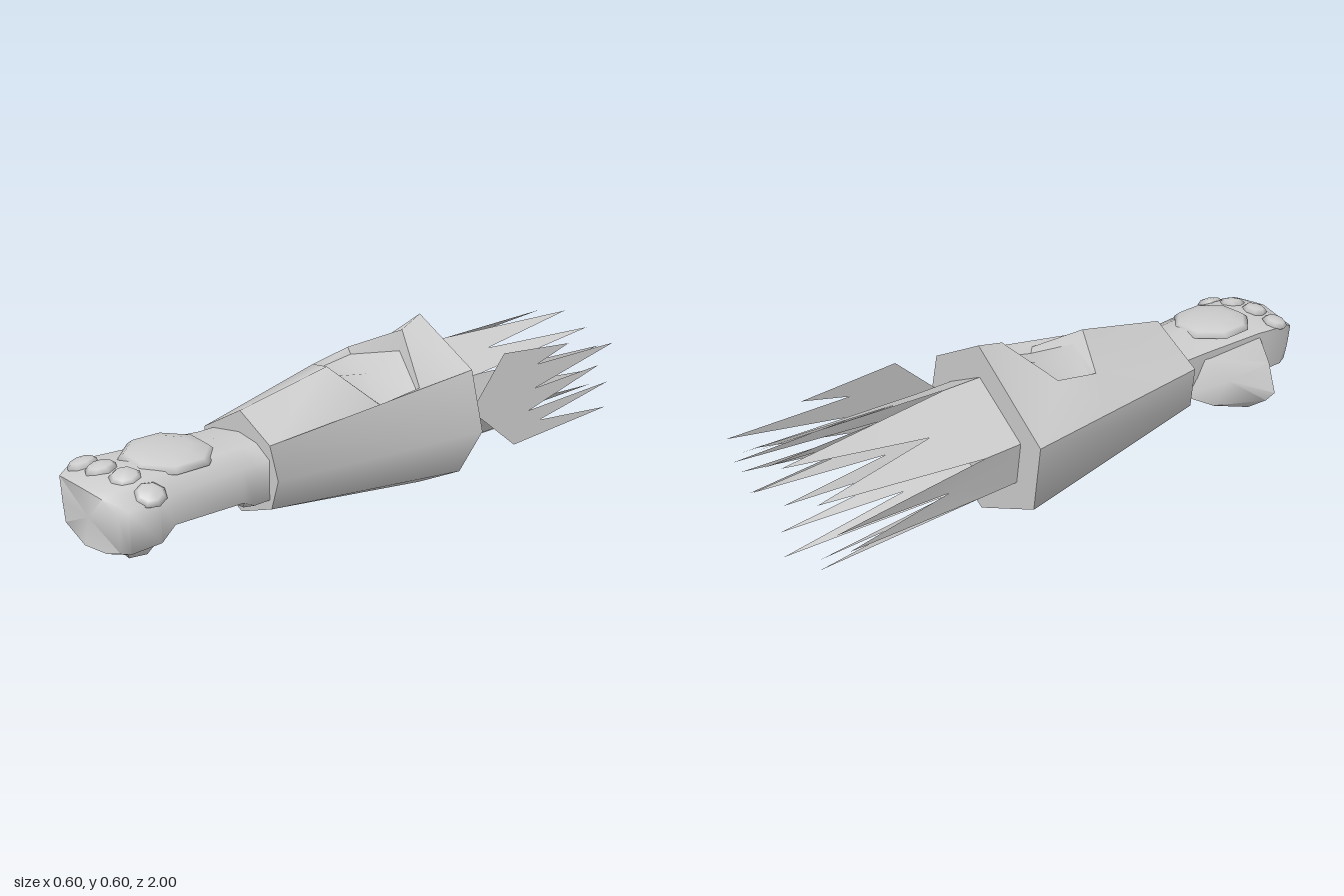
import * as THREE from 'three';
import { toCreasedNormals } from 'three/addons/utils/BufferGeometryUtils.js';

const material = new THREE.MeshStandardMaterial({ color: 0xcccccc, side: THREE.DoubleSide });

function addMesh(parent, name, geometry) {
  const mesh = new THREE.Mesh(geometry, material);
  mesh.name = name;
  parent.add(mesh);
  return mesh;
}

// Triangle list of [x, y, z] corners, smoothed below the crease angle
function surface(corners, crease) {
  const g = new THREE.BufferGeometry();
  g.setAttribute('position', new THREE.Float32BufferAttribute(corners.flat(), 3));
  return toCreasedNormals(g, crease);
}

// Strip between two equally long rows of points
function strip(a, b, closed = false) {
  const out = [], n = a.length;
  for (let i = 0; i < (closed ? n : n - 1); i++) {
    const j = (i + 1) % n;
    out.push(a[i], b[i], a[j], a[j], b[i], b[j]);
  }
  return out;
}

// Fan filling a ring from its centre
function cap(ring, flip = false) {
  const c = [0, 1, 2].map(k => ring.reduce((s, p) => s + p[k], 0) / ring.length);
  return ring.flatMap((p, i) => {
    const q = ring[(i + 1) % ring.length];
    return flip ? [c, q, p] : [c, p, q];
  });
}

function loft(rings) {
  const out = [...cap(rings[0]), ...cap(rings[rings.length - 1], true)];
  for (let i = 0; i + 1 < rings.length; i++) out.push(...strip(rings[i], rings[i + 1], true));
  return out;
}

const mix = (a, b, t) => a.map((v, k) => v + (b[k] - v) * t);
const atZ = (points, z) => points.map(([x, y]) => [x, y, z]);

// Seven-sided outline of the gauntlet's rear, counterclockwise from upper right
const rearOutline = [[0.24, 0.465], [0, 0.6], [-0.3, 0.385], [-0.265, 0.15], [0.015, 0], [0.2, 0.1], [0.295, 0.27]];

function gauntlet(group) {
  const front = atZ([[0.15, 0.38], [0.01, 0.45], [-0.18, 0.345], [-0.17, 0.2], [0, 0.12], [0.15, 0.18], [0.185, 0.28]], 0.475);
  const rear = atZ(rearOutline, -0.27);
  // Hexagonal recess: front, left front, left rear, rear, right rear, right front
  const rim = [[0.02, 0.515, 0.15], [-0.155, 0.46, 0.06], [-0.155, 0.487, -0.09], [0.02, 0.57, -0.17], [0.19, 0.435, -0.085], [0.185, 0.41, 0.07]];
  const floor = [[0.02, 0.475, 0.11], [-0.135, 0.45, 0.05], [-0.14, 0.465, -0.09], [0.02, 0.5, -0.16], [0.175, 0.425, -0.085], [0.165, 0.4, 0.05]];

  const lower = [2, 3, 4, 5, 6, 0];
  const shell = strip(lower.map(i => front[i]), lower.map(i => rear[i]));
  // Upper halves run from the side edges to the ridge and around the recess
  const half = (side, inner, flip) => {
    const [f, r] = [front[side], rear[side]];
    const m = mix(f, r, 0.55);
    const tris = [
      [f, front[1], inner[0]], [f, inner[0], inner[1]], [f, inner[1], m],
      [m, inner[1], inner[2]], [m, inner[2], r], [r, inner[2], inner[3]], [r, inner[3], rear[1]],
    ];
    return tris.flatMap(t => (flip ? [t[0], t[2], t[1]] : t));
  };
  shell.push(...half(2, rim.slice(0, 4), true));
  shell.push(...half(0, [rim[0], rim[5], rim[4], rim[3]], false));
  addMesh(group, 'gauntletShell', surface(shell, 1.5));
  addMesh(group, 'gauntletEnds', surface([...cap(front), ...cap(rear, true)], 0.3));
  addMesh(group, 'recess', surface([...strip(rim, floor, true), ...cap(floor)], 0.9));
}

function hand(group) {
  // Wrist, raised palm and fist, front to back
  const outline = [[0.17, 0.33], [0.1, 0.365], [0, 0.375], [-0.155, 0.35], [-0.15, 0.26], [-0.14, 0.19], [0, 0.172], [0.1, 0.18], [0.165, 0.205]];
  const ring = (z, sx, sy, dy, bottom = 0) =>
    atZ(outline.map(([x, y]) => [x * sx, Math.max(bottom, 0.275 + (y - 0.275) * sy + dy)]), z);
  addMesh(group, 'fist', surface(loft([
    ring(1, 0.96, 0.86, 0).map(([x, y, z]) => [x, y, z - Math.abs(x) * 0.12]),
    ring(0.955, 1.02, 1, 0.002),
    ring(0.86, 1.03, 1.04, 0.008),
    ring(0.81, 0.98, 1.04, 0.008, 0.245),
    ring(0.57, 0.88, 1.02, 0.005, 0.228),
    ring(0.53, 0.86, 1.02, 0.003),
    ring(0.46, 0.86, 1.02, 0.003),
  ]), 1.2));

  // Thumb folded under the fingers, from the hand's side to the tip
  addMesh(group, 'thumb', surface(loft([
    [[-0.125, 0.34, 0.56], [-0.11, 0.2, 0.5], [-0.06, 0.19, 0.56], [-0.1, 0.23, 0.8], [-0.15, 0.345, 0.82]],
    [[-0.205, 0.26, 0.62], [-0.18, 0.165, 0.58], [-0.06, 0.165, 0.62], [-0.11, 0.21, 0.83], [-0.205, 0.265, 0.82]],
    [[-0.25, 0.15, 0.77], [-0.215, 0.125, 0.72], [-0.09, 0.15, 0.68], [-0.1, 0.2, 0.84], [-0.245, 0.16, 0.82]],
    [[-0.14, 0.095, 0.85], [-0.13, 0.092, 0.79], [-0.06, 0.15, 0.72], [-0.06, 0.19, 0.82], [-0.13, 0.15, 0.88]],
    [[0, 0.1, 0.87], [0, 0.092, 0.81], [0.01, 0.15, 0.75], [0.018, 0.18, 0.82], [0.018, 0.16, 0.885]],
  ]), 1.4));

  // Domed octagonal plate on the back of the hand
  const plate = addMesh(group, 'handPlate', new THREE.SphereGeometry(0.14, 8, 3, 0, Math.PI * 2, 0, Math.PI / 2));
  plate.scale.y = 0.24;
  plate.position.set(-0.005, 0.374, 0.72);
  plate.rotation.set(0, Math.PI / 8, -0.05);

  // Four flattened knuckle studs
  [[-0.127, 0.363, 0.92], [-0.033, 0.378, 0.915], [0.06, 0.376, 0.895], [0.15, 0.35, 0.875]].forEach((p, i) => {
    const stud = addMesh(group, 'knuckle' + (i + 1), new THREE.SphereGeometry(0.046, 8, 4));
    stud.scale.y = 0.42;
    stud.position.set(...p);
    stud.rotation.set(0.15, 0, [0.15, 0.05, -0.2, -0.45][i]);
  });
}

function feathers(group) {
  // Angular sleeve, each side splitting into two long points
  const sides = rearOutline.length;
  const at = (t, z, spread = 1) => {
    const i = Math.floor(t) % sides;
    const [x, y] = mix(rearOutline[i], rearOutline[(i + 1) % sides], t % 1);
    return [x * 0.68 * spread, 0.3 + (y - 0.3) * 0.64 * spread, z];
  };
  const lengths = [1, 0.98, 0.96, 0.92, 0.9, 0.86, 0.93, 0.88, 0.95, 0.92, 0.88, 0.95, 0.9, 1];
  const valley = k => (k % 2 ? -0.52 : -0.4);
  const sleeve = lengths.flatMap((length, i) => {
    const t = i / 2, u = t + 0.5;
    const a = at(t, -0.26), b = at(u, -0.26);
    const c = at(t, valley(i)), d = at(u, valley(i + 1));
    return [a, c, b, b, c, d, c, at(t + 0.25, -length, 1.1), d];
  });
  addMesh(group, 'featherSleeve', surface(sleeve, 0.5));

  // Thin leaning fan of points beside the sleeve
  const outline = [[0.26, 0.33], [0.45, 0.17], [0.93, 0.19], [0.58, 0.225], [0.95, 0.28], [0.53, 0.27], [0.9, 0.35],
    [0.56, 0.34], [0.98, 0.415], [0.58, 0.42], [0.74, 0.46], [0.42, 0.488]];
  const fan = new THREE.ShapeGeometry(new THREE.Shape(outline.map(p => new THREE.Vector2(...p))));
  const pos = fan.attributes.position;
  for (let i = 0; i < pos.count; i++) {
    const back = pos.getX(i), y = pos.getY(i);
    pos.setXYZ(i, 0.272 - (y - 0.17) * 0.11 + (back - 0.26) * 0.03, y, -back);
  }
  fan.computeVertexNormals();
  addMesh(group, 'featherFan', fan);
}

export function createModel() {
  const model = new THREE.Group();
  model.name = 'gauntletArm';
  for (const [name, build] of Object.entries({ gauntlet, hand, feathers })) {
    const part = new THREE.Group();
    part.name = name;
    build(part);
    model.add(part);
  }
  return model;
}
